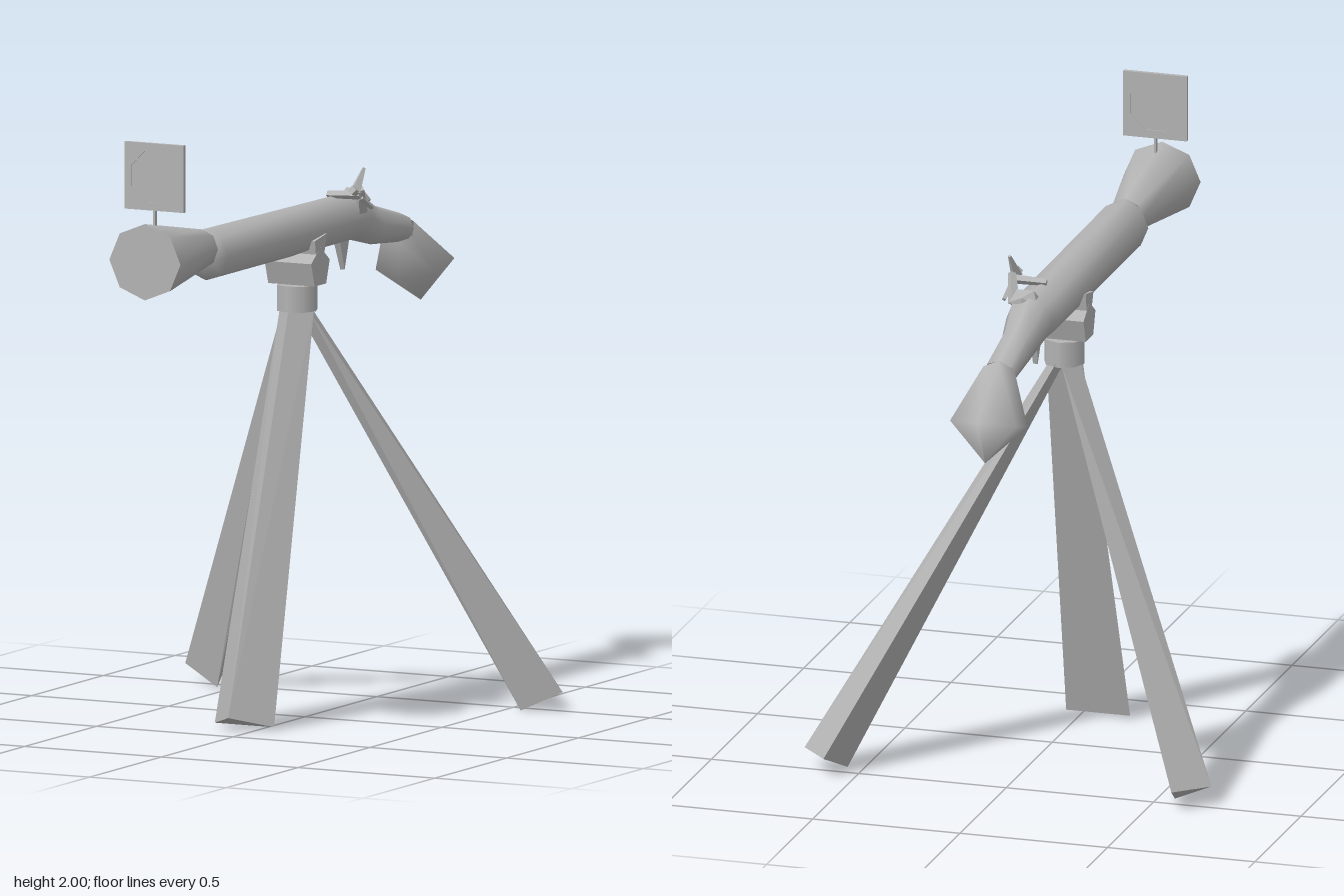
import * as THREE from 'three';
import { ConvexGeometry } from 'three/addons/geometries/ConvexGeometry.js';

const CX = -0.06; // centre line of the gun and its stand

export function createModel() {
  const model = new THREE.Group();
  model.name = 'standMountedGun';
  const grey = new THREE.MeshStandardMaterial({ color: 0xb4b4b4, side: THREE.DoubleSide });
  grey.name = 'grey';

  function add(geometry, name, x = 0, y = 0, z = 0) {
    const mesh = new THREE.Mesh(geometry, grey);
    mesh.name = name;
    mesh.position.set(x, y, z);
    model.add(mesh);
    return mesh;
  }

  // Smooth skin through rings; each ring is [topZ, topY, bottomZ, bottomY, halfWidth].
  function loft(rings, sides, capStart, capEnd) {
    const pos = [], idx = [];
    const ring = ([tz, ty, bz, by, w]) => {
      const first = pos.length / 3;
      for (let j = 0; j < sides; j++) {
        const t = (j / sides) * Math.PI * 2, c = Math.cos(t) / 2;
        pos.push(CX + Math.sin(t) * w, (ty + by) / 2 + c * (ty - by), (tz + bz) / 2 + c * (tz - bz));
      }
      return first;
    };
    const starts = rings.map(ring);
    for (let i = 0; i + 1 < starts.length; i++) {
      for (let j = 0; j < sides; j++) {
        const k = (j + 1) % sides;
        const a = starts[i] + j, b = starts[i] + k, c = starts[i + 1] + j, d = starts[i + 1] + k;
        idx.push(a, b, c, b, d, c);
      }
    }
    // Flat caps use their own corners so the rim stays sharp
    const cap = (r, flip) => {
      const s = ring(r);
      for (let j = 1; j < sides - 1; j++) {
        if (flip) idx.push(s, s + j + 1, s + j);
        else idx.push(s, s + j, s + j + 1);
      }
    };
    if (capStart) cap(rings[0], true);
    if (capEnd) cap(rings[rings.length - 1], false);
    const g = new THREE.BufferGeometry();
    g.setAttribute('position', new THREE.Float32BufferAttribute(pos, 3));
    g.setIndex(idx);
    g.computeVertexNormals();
    return g;
  }

  const hull = (points) => new ConvexGeometry(points.map((p) => new THREE.Vector3(...p)));

  // Tapered four-sided bar between two points
  function bar(name, from, to, r0, r1) {
    const a = new THREE.Vector3(...from), b = new THREE.Vector3(...to);
    const dir = b.clone().sub(a);
    const g = new THREE.CylinderGeometry(r1, r0, dir.length(), 4).toNonIndexed();
    g.computeVertexNormals();
    const mesh = add(g, name);
    mesh.position.copy(a).add(b).multiplyScalar(0.5);
    mesh.quaternion.setFromUnitVectors(new THREE.Vector3(0, 1, 0), dir.normalize());
  }

  // Flared muzzle, barrel and wrist
  add(loft([
    [1.0, 1.74, 1.0, 1.49, 0.13],
    [0.6, 1.67, 0.6, 1.545, 0.057],
  ], 8, true, false), 'flaredMuzzle');
  add(loft([
    [0.6, 1.67, 0.6, 1.545, 0.057],
    [0.58, 1.67, 0.575, 1.5, 0.085],
    [-0.36, 1.66, -0.36, 1.5, 0.085],
    [-0.45, 1.655, -0.43, 1.5, 0.078],
    [-0.56, 1.6, -0.57, 1.467, 0.058],
    [-0.775, 1.543, -0.76, 1.45, 0.055],
  ], 8, false, false), 'barrelAndWrist');

  // Butt: six-sided flare ending in a shallow point
  add(loft([
    [-0.775, 1.543, -0.76, 1.45, 0.06],
    [-1.0, 1.4, -0.76, 1.325, 0.13],
    [-0.92, 1.24, -0.92, 1.24, 0],
  ], 6, false, false), 'butt');

  // Sight: square plate with an octagonal opening holding a thin disc
  const octagon = (r) => Array.from({ length: 8 }, (_, i) => {
    const t = (i + 0.5) * Math.PI / 4;
    return new THREE.Vector2(Math.cos(t) * r, Math.sin(t) * r);
  });
  const plate = new THREE.Shape([[-1, -1], [1, -1], [1, 1], [-1, 1]]
    .map(([x, y]) => new THREE.Vector2(x * 0.108, y * 0.11)));
  plate.holes.push(new THREE.Path(octagon(0.09)));
  add(new THREE.ExtrudeGeometry(plate, { depth: 0.014, bevelEnabled: false }),
    'sightFrame', CX, 1.885, 0.922);
  add(new THREE.ExtrudeGeometry(new THREE.Shape(octagon(0.09)), { depth: 0.006, bevelEnabled: false }),
    'sightDisc', CX, 1.885, 0.926);
  add(new THREE.BoxGeometry(0.006, 0.085, 0.016), 'sightStem', CX, 1.74, 0.929);

  // Lock: pan bump, cock and trigger
  const bump = add(new THREE.IcosahedronGeometry(0.05, 0), 'lockBump', CX + 0.02, 1.635, -0.42);
  bump.scale.set(1.1, 0.9, 1);
  bar('cockArm', [0.015, 1.61, -0.37], [0.04, 1.69, -0.31], 0.02, 0.014);
  bar('cockSpur', [0.03, 1.68, -0.29], [0.04, 1.755, -0.335], 0.02, 0.006);
  bar('cockTip', [0.035, 1.67, -0.33], [0.03, 1.69, -0.27], 0.012, 0.016);
  bar('cockJaw', [0.04, 1.67, -0.31], [-0.075, 1.665, -0.3], 0.016, 0.012);
  bar('cockCurl', [0.035, 1.66, -0.32], [0.045, 1.62, -0.38], 0.012, 0.008);
  add(hull([
    [CX - 0.012, 1.51, -0.335], [CX + 0.012, 1.51, -0.335],
    [CX - 0.012, 1.51, -0.4], [CX + 0.012, 1.51, -0.4],
    [CX - 0.008, 1.41, -0.375], [CX + 0.008, 1.41, -0.375],
  ]), 'trigger');

  // Swivel: five-sided drum lying across the stand, with a saddle above
  const drum = new THREE.CylinderGeometry(0.068, 0.068, 0.17, 5);
  drum.rotateZ(Math.PI / 2);
  const flatDrum = drum.toNonIndexed();
  flatDrum.computeVertexNormals();
  const p = flatDrum.attributes.position;
  let top = 0; // find which way a corner points, then turn it upward
  for (let i = 1; i < p.count; i++) if (Math.hypot(p.getY(i), p.getZ(i)) > 0.06) { top = i; break; }
  flatDrum.rotateX(-Math.atan2(p.getZ(top), p.getY(top)));
  add(flatDrum, 'swivelDrum', CX, 1.462, -0.06);
  const saddle = [];
  for (const s of [-1, 1]) {
    saddle.push([CX + s * 0.086, 1.57, -0.102], [CX + s * 0.086, 1.555, -0.02],
      [CX + s * 0.084, 1.51, -0.09], [CX + s * 0.084, 1.51, -0.03]);
  }
  add(hull(saddle), 'saddle');
  add(new THREE.CylinderGeometry(0.068, 0.068, 0.085, 8), 'collar', CX, 1.362, -0.06);

  // Three-sided tapered legs
  add(hull([
    [-0.122, 1.33, -0.06], [0.002, 1.33, -0.06], [CX, 1.33, 0],
    [-0.167, 0.01, 0.31], [0.05, 0.01, 0.31], [CX, 0.047, 0.42],
  ]), 'frontLeg');
  for (const [side, name] of [[-1, 'rightLeg'], [1, 'leftLeg']]) {
    add(hull([
      [CX + side * 0.045, 1.33, -0.045], [CX + side * 0.01, 1.33, -0.125], [CX, 1.32, -0.06],
      [side * 0.69, 0.065, -0.48], [side * 0.59, 0.07, -0.595], [side * 0.555, 0, -0.445],
    ]), name);
  }
  return model;
}
